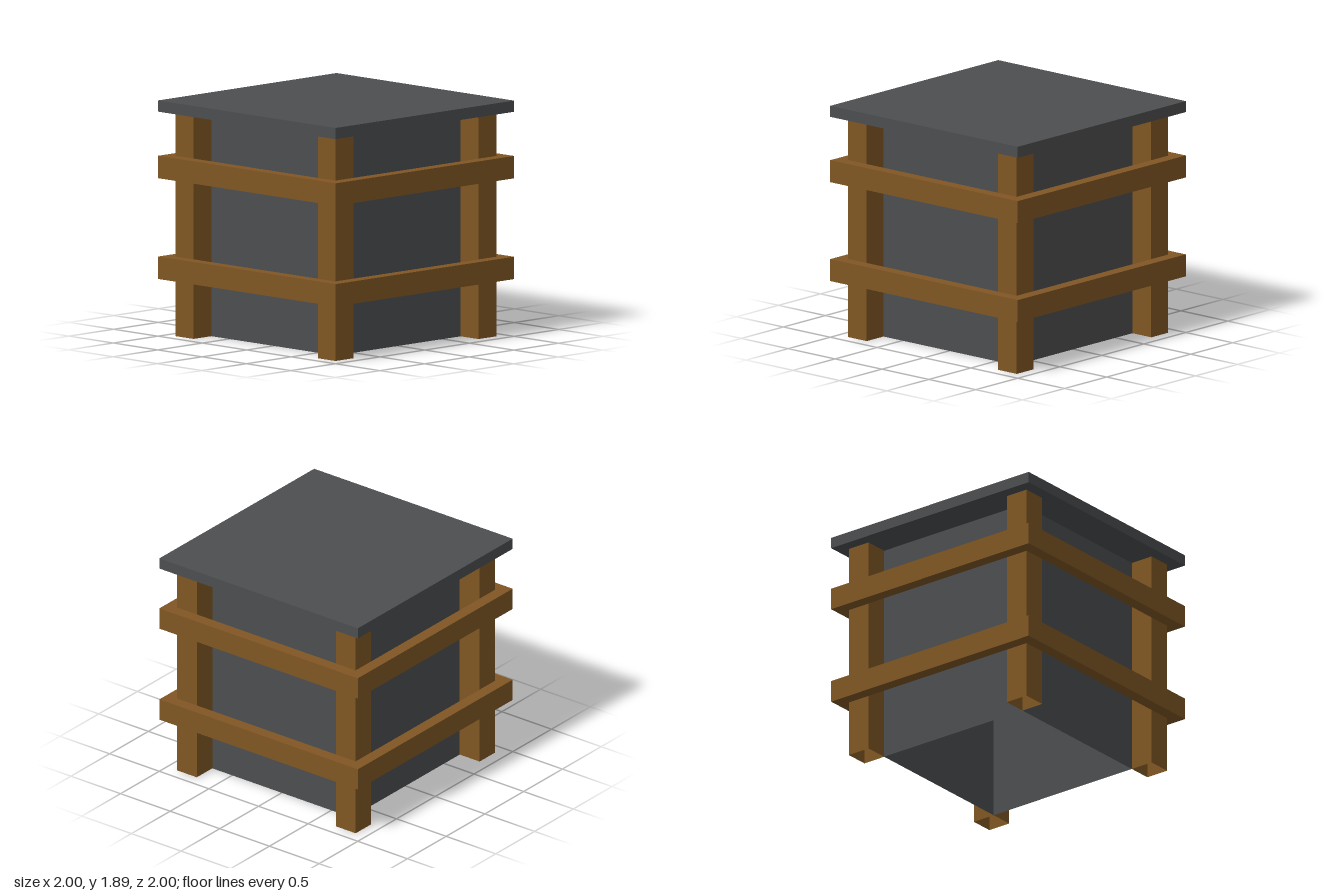
import * as THREE from 'three';

const wood = new THREE.MeshStandardMaterial({ color: 0x805623, flatShading: true, side: THREE.DoubleSide });
const slate = new THREE.MeshStandardMaterial({ color: 0x4d4e50, flatShading: true, side: THREE.DoubleSide });

// square tube with open ends, standing on y = 0
function openSquareTube(width, height) {
  return new THREE.CylinderGeometry(width / Math.SQRT2, width / Math.SQRT2, height, 4, 1, true)
    .rotateY(Math.PI / 4)
    .translate(0, height / 2, 0);
}

// square outline centred on the origin
function squarePoints(half) {
  return [[-1, -1], [1, -1], [1, 1], [-1, 1]].map(([x, y]) => new THREE.Vector2(x * half, y * half));
}

export function createModel() {
  const group = new THREE.Group();
  const add = (name, geometry, material, x = 0, y = 0, z = 0) => {
    const mesh = new THREE.Mesh(geometry, material);
    mesh.name = name;
    mesh.position.set(x, y, z);
    group.add(mesh);
  };

  const wallHeight = 1.805;

  // bin walls, open underneath
  add('body', openSquareTube(1.4, wallHeight), slate);

  // corner posts, just outside the wall corners
  const postGeometry = openSquareTube(0.2, wallHeight);
  for (const x of [-0.8, 0.8])
    for (const z of [-0.8, 0.8]) add('cornerPost', postGeometry, wood, x, 0, z);

  // wooden rails running around the posts
  const ring = new THREE.Shape(squarePoints(1));
  ring.holes.push(new THREE.Path(squarePoints(0.9).reverse()));
  const railGeometry = new THREE.ExtrudeGeometry(ring, { depth: 0.18, bevelEnabled: false }).rotateX(-Math.PI / 2);
  for (const y of [0.46, 1.27]) add('rail', railGeometry, wood, 0, y, 0);

  // flat lid
  add('lid', new THREE.BoxGeometry(2, 0.09, 2), slate, 0, wallHeight + 0.045, 0);

  return group;
}
